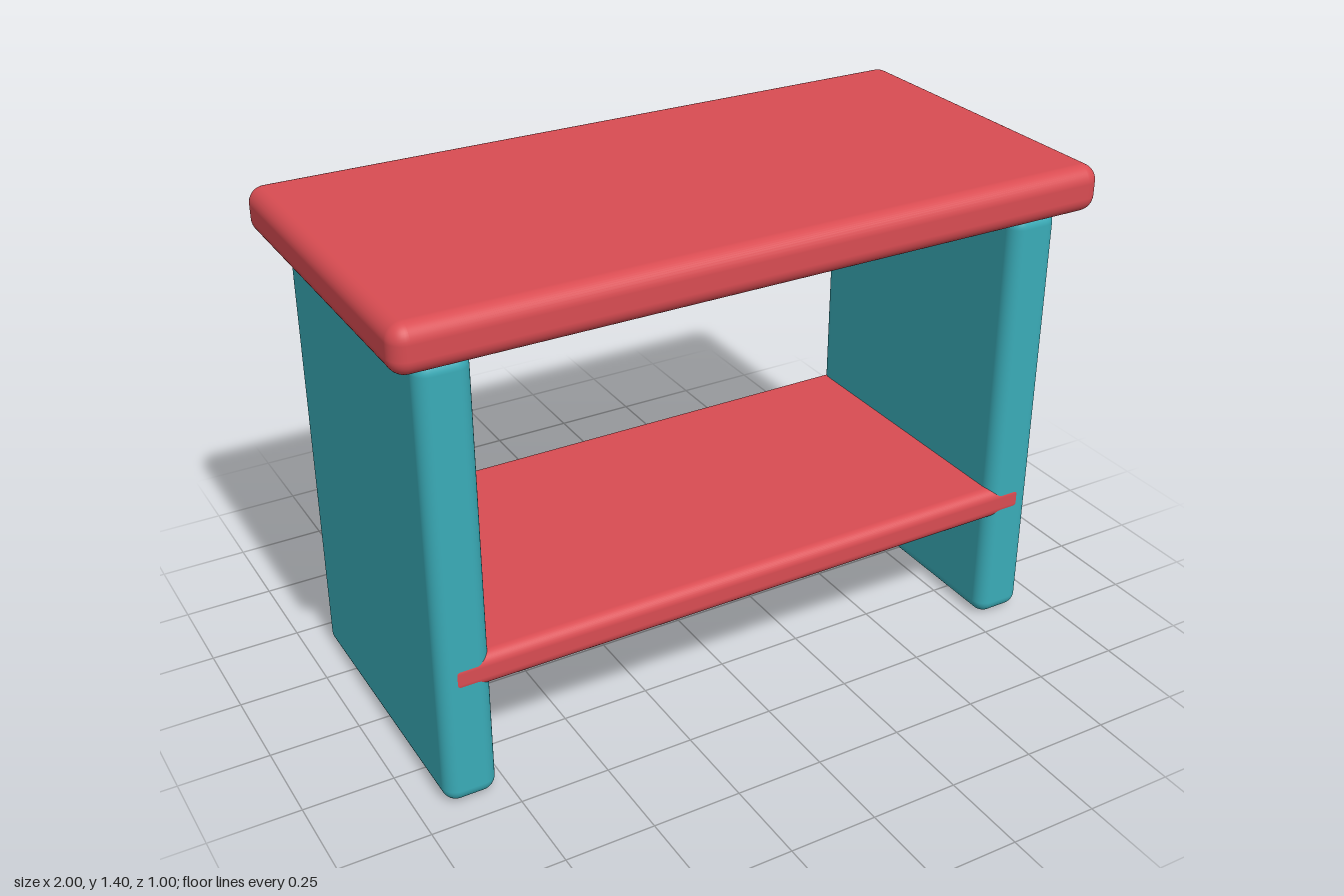
import * as THREE from 'three';
import { RoundedBoxGeometry } from 'three/addons/geometries/RoundedBoxGeometry.js';

export function createModel() {
  const group = new THREE.Group();
  const red = new THREE.MeshStandardMaterial({ name: 'red', color: 0xd94c52 });
  const teal = new THREE.MeshStandardMaterial({ name: 'teal', color: 0x3aacb8 });

  // Soft-edged board, placed by its centre
  function board(name, [w, h, d], [x, y, z], radius, material) {
    const mesh = new THREE.Mesh(new RoundedBoxGeometry(w, h, d, 5, radius), material);
    mesh.name = name;
    mesh.position.set(x, y, z);
    group.add(mesh);
  }

  board('tableTop', [2, 0.13, 1], [0, 1.335, 0], 0.045, red);

  // Slab legs, mirrored
  for (const side of [-1, 1]) {
    board(side > 0 ? 'leftLeg' : 'rightLeg', [0.145, 1.27, 0.865], [side * 0.852, 0.635, 0], 0.04, teal);
  }

  // Lower shelf, its ends let into the legs and its edge just proud of them
  board('shelf', [1.8, 0.095, 0.867], [0, 0.385, 0], 0.032, red);

  return group;
}
